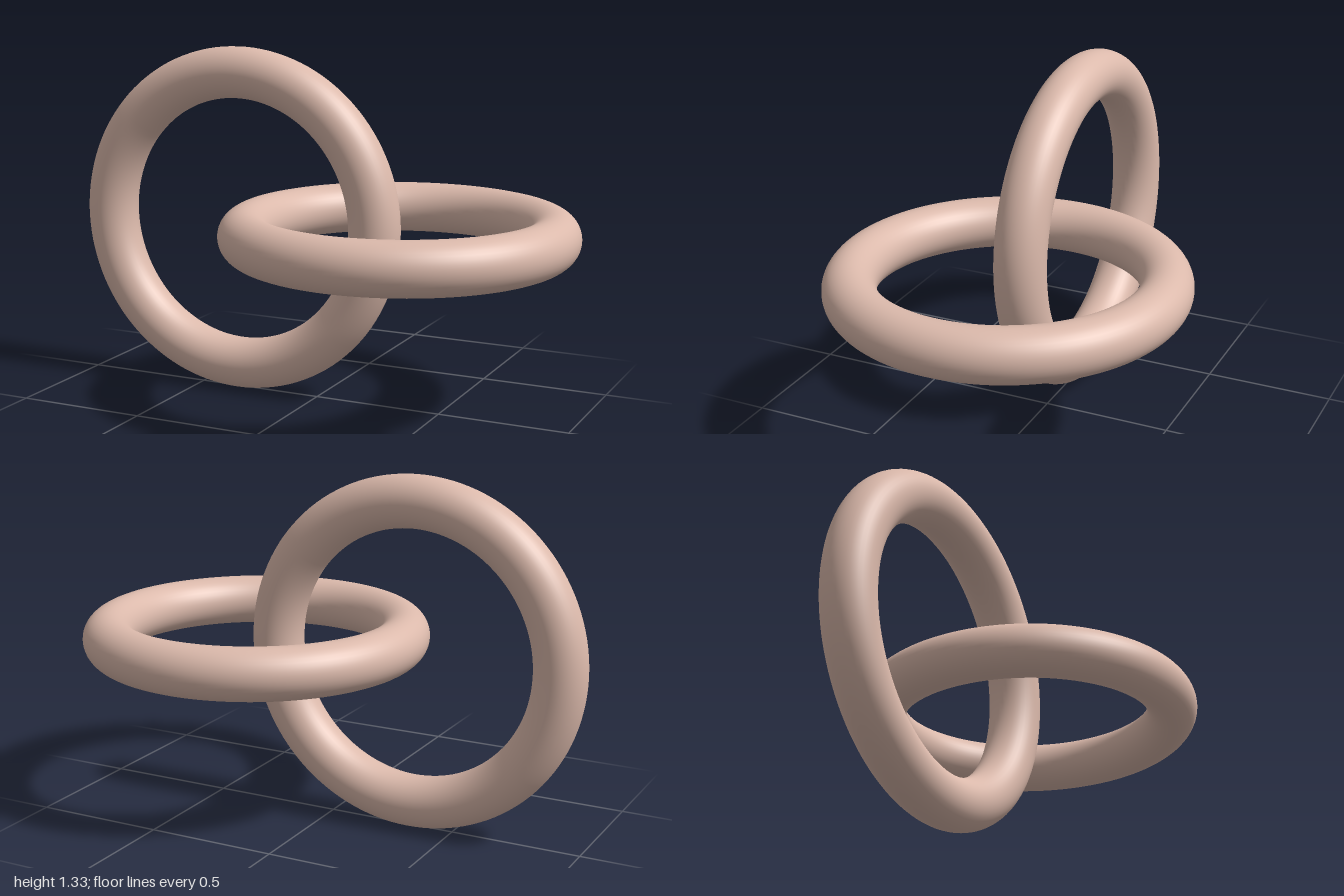
import * as THREE from 'three';

const RING = 0.569; // centre line radius
const TUBE = 0.098; // tube radius
const OFFSET = 0.333;

export function createModel() {
  const model = new THREE.Group();
  model.name = 'linkedRings';

  const rose = new THREE.MeshStandardMaterial({ color: 0xdbb9ab });
  rose.name = 'dusty rose';

  const geometry = new THREE.TorusGeometry(RING, TUBE, 40, 128);

  function addRing(name, x, tilt) {
    const ring = new THREE.Mesh(geometry, rose);
    ring.name = name;
    ring.position.set(x, RING + TUBE + 0.003, 0);
    ring.rotation.x = tilt;
    model.add(ring);
  }

  // Upright ring, and a flat ring passing through it
  addRing('uprightRing', -OFFSET, 0);
  addRing('flatRing', OFFSET, Math.PI / 2);

  return model;
}
